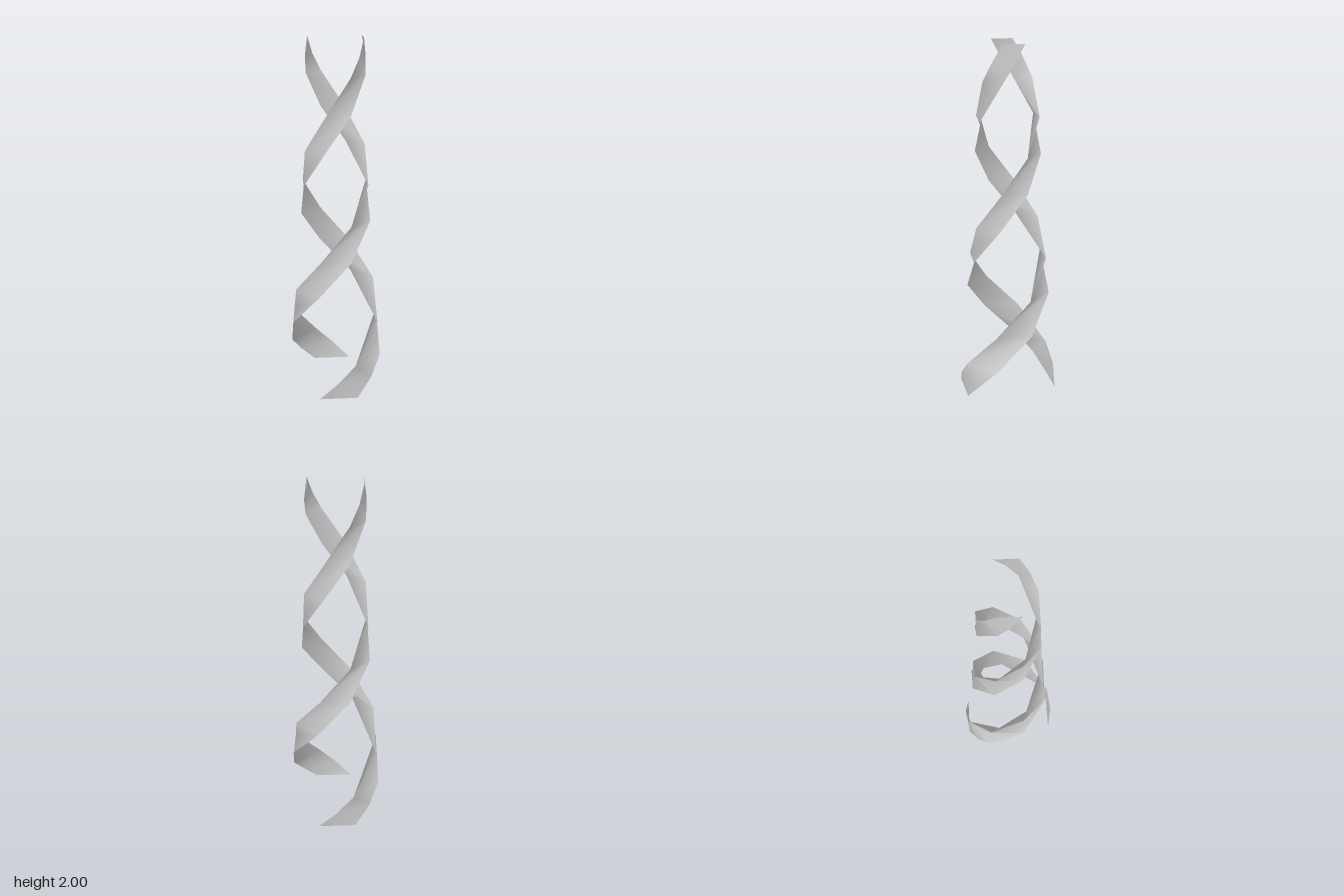
import * as THREE from 'three';

// Cross-sections of one ribbon: height, radius, angle of the leading edge
// (degrees, measured from the front towards +x).
const RINGS = [
  [0, 0.28, 0], [0.1, 0.276, 21.4], [0.2, 0.274, 42.8], [0.4, 0.26, 86],
  [0.6, 0.24, 131.3], [0.8, 0.221, 177], [1, 0.206, 223], [1.2, 0.192, 269],
  [1.4, 0.184, 315], [1.6, 0.174, 361], [1.8, 0.166, 406.5],
  [1.9, 0.162, 428.3], [2, 0.158, 450],
];
const WIDTH = 45; // angle spanned by the ribbon at every height

function ribbonGeometry() {
  const positions = [];
  const indices = [];
  for (const [y, radius, lead] of RINGS) {
    for (const degrees of [lead - WIDTH, lead]) {
      const a = THREE.MathUtils.degToRad(degrees);
      positions.push(radius * Math.sin(a), y, radius * Math.cos(a));
    }
  }
  for (let i = 0; i < RINGS.length - 1; i++) {
    const [t0, l0, t1, l1] = [2 * i, 2 * i + 1, 2 * i + 2, 2 * i + 3];
    // Long steps fold along the wide diagonal, the short end steps along the steep one
    const longStep = RINGS[i + 1][0] - RINGS[i][0] > 0.15;
    if (longStep) indices.push(t0, l0, l1, t0, l1, t1);
    else indices.push(t0, l0, t1, l0, l1, t1);
  }
  const geometry = new THREE.BufferGeometry();
  geometry.setAttribute('position', new THREE.Float32BufferAttribute(positions, 3));
  geometry.setIndex(indices);
  geometry.computeVertexNormals();
  return geometry;
}

export function createModel() {
  const model = new THREE.Group();
  model.name = 'doubleHelix';
  const material = new THREE.MeshStandardMaterial({ color: 0xcccccc, side: THREE.DoubleSide });
  const geometry = ribbonGeometry();

  // Two identical ribbons, half a turn apart
  ['frontRibbon', 'backRibbon'].forEach((name, i) => {
    const ribbon = new THREE.Mesh(geometry, material);
    ribbon.name = name;
    ribbon.rotation.y = i * Math.PI;
    model.add(ribbon);
  });
  return model;
}
